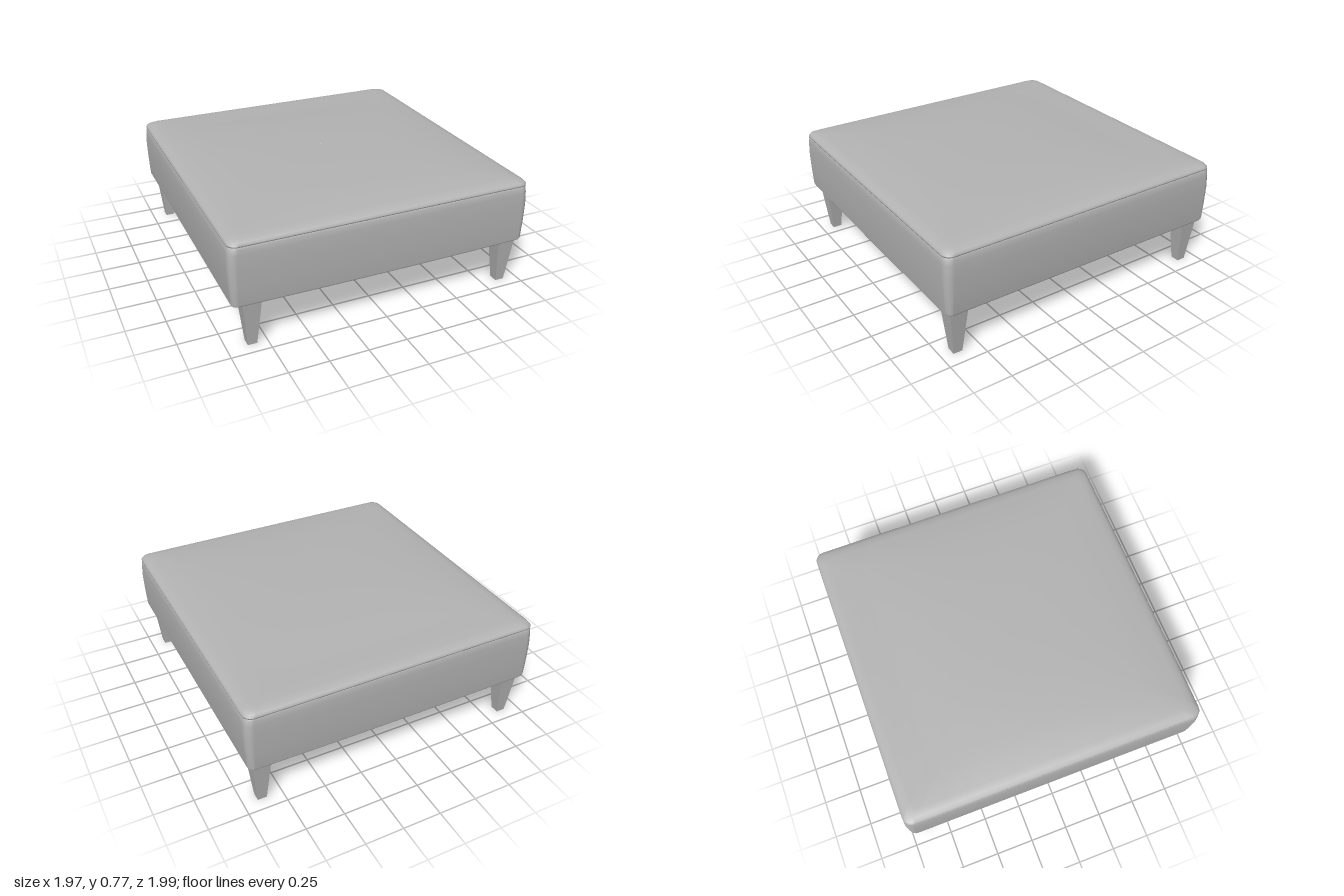
import * as THREE from 'three';

const SIDE = 12, CORNER = 6;

// Rounded rectangle outline, counter-clockwise from above, as [x, z] pairs
function outline(hx, hz, r) {
  const pts = [];
  const centres = [[1, -1], [-1, -1], [-1, 1], [1, 1]];
  for (let k = 0; k < 4; k++) {
    const [sx, sz] = centres[k];
    for (let i = 0; i <= CORNER; i++) {
      const a = (k + i / CORNER) * Math.PI / 2;
      pts.push([sx * (hx - r) + r * Math.cos(a), sz * (hz - r) - r * Math.sin(a)]);
    }
    // straight run to the next corner
    const [nx, nz] = centres[(k + 1) % 4];
    const e = (k + 1) * Math.PI / 2;
    const ox = r * Math.cos(e), oz = -r * Math.sin(e);
    for (let i = 1; i < SIDE; i++) {
      const t = i / SIDE;
      pts.push([
        (sx + (nx - sx) * t) * (hx - r) + ox,
        (sz + (nz - sz) * t) * (hz - r) + oz,
      ]);
    }
  }
  return pts;
}

// Skin a list of [halfX, halfZ, cornerRadius, y] sections; shift adjusts the height
function loft(sections, shift = () => 0) {
  const pos = [], index = [];
  let n = 0;
  for (const [hx, hz, r, y] of sections) {
    const ring = outline(hx, hz, r);
    n = ring.length;
    for (const [x, z] of ring) pos.push(x, y + shift(x, z, y), z);
  }
  for (let s = 0; s < sections.length - 1; s++) {
    for (let i = 0; i < n; i++) {
      const a = s * n + i, b = s * n + (i + 1) % n;
      index.push(a, b, a + n, b, b + n, a + n);
    }
  }
  const g = new THREE.BufferGeometry();
  g.setAttribute('position', new THREE.Float32BufferAttribute(pos, 3));
  g.setIndex(index);
  g.computeVertexNormals();
  return g;
}

export function createModel() {
  const group = new THREE.Group();
  const upholstery = new THREE.MeshStandardMaterial({ color: 0xb4b4b4 });
  upholstery.name = 'light grey';

  const add = (name, geometry) => {
    const mesh = new THREE.Mesh(geometry, upholstery);
    mesh.name = name;
    group.add(mesh);
    return mesh;
  };

  // The lower edge sags a little in the middle of each side
  const sag = (x, z, y) => (y > 0.33 ? 0 : -0.008 * (1 - x * x));

  // Upholstered sides, slightly fuller in the middle
  add('sides', loft([
    [0.968, 0.982, 0.035, 0.318],
    [0.974, 0.988, 0.04, 0.33],
    [0.980, 0.993, 0.045, 0.45],
    [0.983, 0.995, 0.05, 0.57],
    [0.979, 0.992, 0.05, 0.65],
    [0.974, 0.988, 0.05, 0.685],
    [0.966, 0.980, 0.05, 0.694],
  ], sag));

  // Flat underside
  add('underside', loft([
    [0.001, 0.001, 0.0005, 0.318],
    [0.35, 0.35, 0.02, 0.318],
    [0.7, 0.7, 0.03, 0.318],
    [0.968, 0.982, 0.035, 0.318],
  ], sag));

  // Padded top: a soft rim, then a shallow crown a little forward of centre
  const crown = (x, z) => {
    const fx = Math.max(0, 1 - Math.pow(Math.abs(x) / 0.95, 3));
    const fz = Math.max(0, 1 - Math.pow(Math.abs(z - 0.1) / 0.85, 2.5));
    return 0.028 * fx * fz;
  };
  const top = [
    [0.966, 0.980, 0.05, 0.694],
    [0.976, 0.990, 0.055, 0.698],
    [0.977, 0.991, 0.06, 0.706],
    [0.968, 0.982, 0.06, 0.719],
    [0.945, 0.960, 0.06, 0.730],
    [0.90, 0.915, 0.06, 0.737],
  ];
  for (let i = 9; i >= 0; i--) {
    const h = Math.max(0.001, i * 0.085);
    top.push([h, h, h * 0.07, 0.740]);
  }
  add('cushionTop', loft(top, crown));

  // Square tapered legs
  const legs = [
    ['frontLeftLeg', 0.88, 0.895],
    ['backLeftLeg', 0.88, -0.89],
    ['frontRightLeg', -0.845, 0.895],
    ['backRightLeg', -0.877, -0.89],
  ];
  for (const [name, x, z] of legs) {
    const g = new THREE.BoxGeometry(0.122, 0.33, 0.122).toNonIndexed();
    const p = g.attributes.position;
    for (let i = 0; i < p.count; i++) {
      if (p.getY(i) < 0) {
        p.setX(i, p.getX(i) * 0.48);
        p.setZ(i, p.getZ(i) * 0.48);
      }
    }
    g.computeVertexNormals();
    add(name, g).position.set(x, 0.165, z);
  }

  return group;
}
